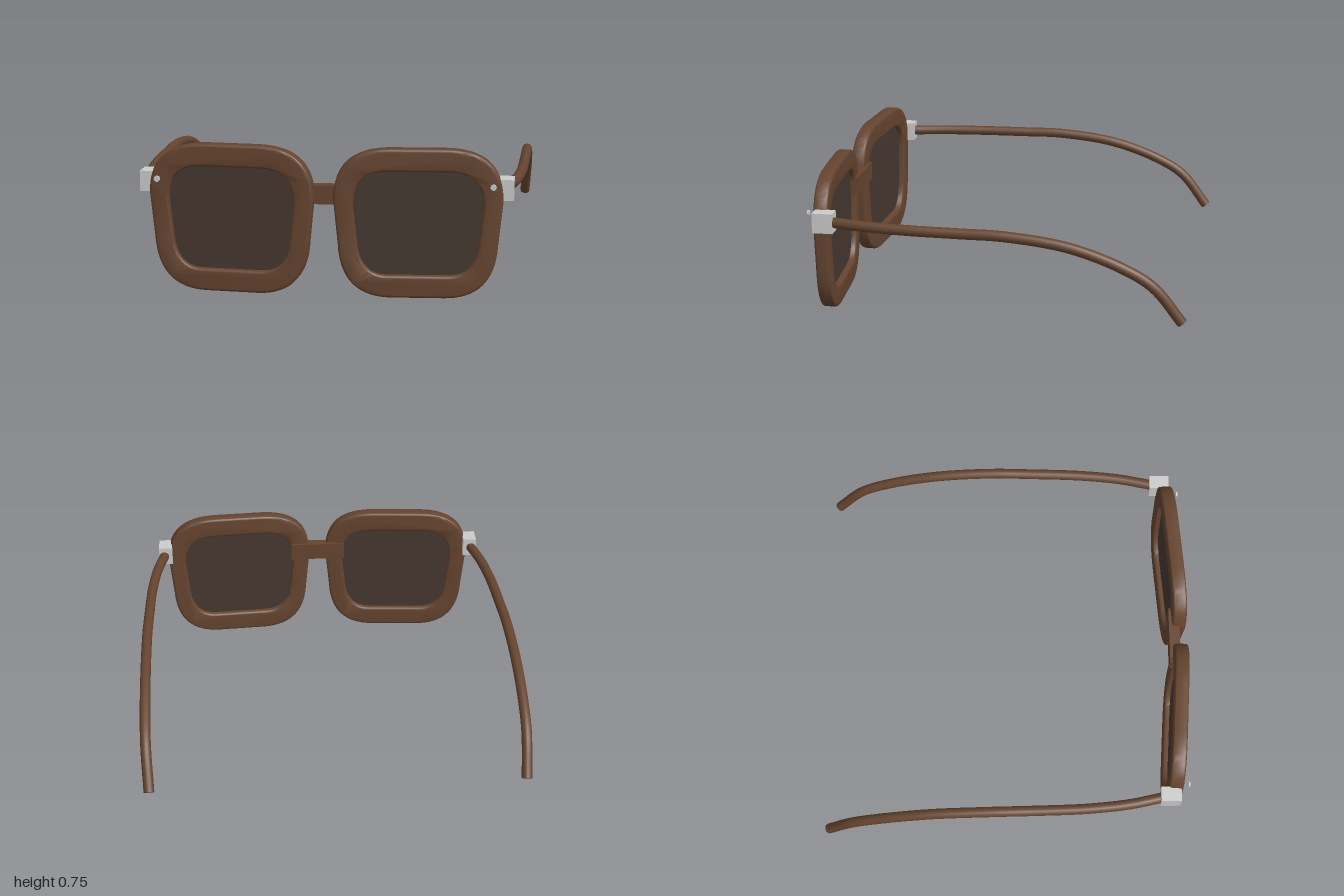
import * as THREE from 'three';
import { toCreasedNormals } from 'three/addons/utils/BufferGeometryUtils.js';

const V = (x, y, z) => new THREE.Vector3(x, y, z);

// Soft rounded square, slightly narrower at the bottom.
// w, h: half size; flat: half length of top and bottom edges; up, low: ends of the sides; taper: narrowing
function softSquare(path, w, h, flat, up, low, taper) {
  const b = w - taper;
  path.moveTo(-flat, h);
  path.quadraticCurveTo(-w, h, -w, up);
  path.lineTo(-b, low);
  path.quadraticCurveTo(-b + taper * 0.6, -h, -flat, -h);
  path.lineTo(flat, -h);
  path.quadraticCurveTo(b - taper * 0.6, -h, b, low);
  path.lineTo(w, up);
  path.quadraticCurveTo(w, h, flat, h);
  path.closePath();
  return path;
}
const innerOutline = (path, grow = 0) =>
  softSquare(path, 0.318 + grow, 0.26 + grow, 0.15, 0.09, -0.09, 0.02);

export function createModel() {
  const model = new THREE.Group();
  const brown = new THREE.MeshStandardMaterial({ color: 0x65442f });
  const dark = new THREE.MeshStandardMaterial({ color: 0x453830 });
  const metal = new THREE.MeshStandardMaterial({ color: 0xcccccc });

  const add = (parent, name, geometry, material, x = 0, y = 0, z = 0) => {
    const mesh = new THREE.Mesh(geometry, material);
    mesh.name = name;
    mesh.position.set(x, y, z);
    parent.add(mesh);
    return mesh;
  };

  // Rim: bevelled ring with a hole for the lens
  const rimShape = softSquare(new THREE.Shape(), 0.415, 0.373, 0.13, 0.12, -0.1, 0.022);
  rimShape.holes.push(innerOutline(new THREE.Path()));
  const bevel = 0.014, thick = 0.075;
  let rimGeo = new THREE.ExtrudeGeometry(rimShape, {
    depth: thick - 2 * bevel, bevelEnabled: true, bevelThickness: bevel,
    bevelSize: bevel, bevelOffset: -bevel, bevelSegments: 4, curveSegments: 16,
  });
  rimGeo.translate(0, 0, bevel - thick / 2);
  rimGeo = toCreasedNormals(rimGeo, 0.6);

  // Lens: thin plate seated in the rim
  const lensGeo = new THREE.ExtrudeGeometry(innerOutline(new THREE.Shape(), 0.006), {
    depth: 0.016, bevelEnabled: false, curveSegments: 16,
  });
  lensGeo.translate(0, 0, -0.008);

  for (const s of [1, -1]) {
    const side = s > 0 ? 'left' : 'right';

    // Eyepiece, turned slightly backward at its outer end
    const eye = new THREE.Group();
    eye.name = side + 'Eyepiece';
    eye.position.set(s * 0.4625, 0.378, 0.91);
    eye.rotation.y = s * 0.07;
    model.add(eye);
    add(eye, side + 'Rim', rimGeo, brown);
    add(eye, side + 'Lens', lensGeo, dark);

    // Hinge block and front rivet
    add(model, side + 'Hinge', new THREE.BoxGeometry(0.075, 0.103, 0.105), metal,
      s * 0.89, 0.553, 0.856);
    const rivet = add(model, side + 'Rivet', new THREE.CylinderGeometry(0.015, 0.015, 0.01, 16),
      metal, s * 0.83, 0.575, 0.953);
    rivet.rotation.x = Math.PI / 2;

    // Temple arm: bows outward, then hooks down behind the ear
    const curve = new THREE.CatmullRomCurve3([
      V(s * 0.895, 0.553, 0.82), V(s * 0.932, 0.553, 0.64), V(s * 0.955, 0.553, 0.42),
      V(s * 0.965, 0.554, 0.15), V(s * 0.97, 0.553, -0.08), V(s * 0.971, 0.515, -0.39),
      V(s * 0.971, 0.428, -0.65), V(s * 0.968, 0.335, -0.81), V(s * 0.957, 0.155, -0.955),
    ]);
    const r = 0.027, steps = 64;
    add(model, side + 'Temple', new THREE.TubeGeometry(curve, steps, r, 16), brown);

    // Flat cap at the tip
    const end = curve.getPoint(1);
    const cap = add(model, side + 'TempleTip', new THREE.CircleGeometry(r, 16), brown, end.x, end.y, end.z);
    cap.lookAt(end.clone().add(curve.getTangent(1)));
  }

  // Bridge bar joining the rims
  add(model, 'bridge', new THREE.BoxGeometry(0.31, 0.095, 0.057), brown, 0, 0.513, 0.911);

  return model;
}
